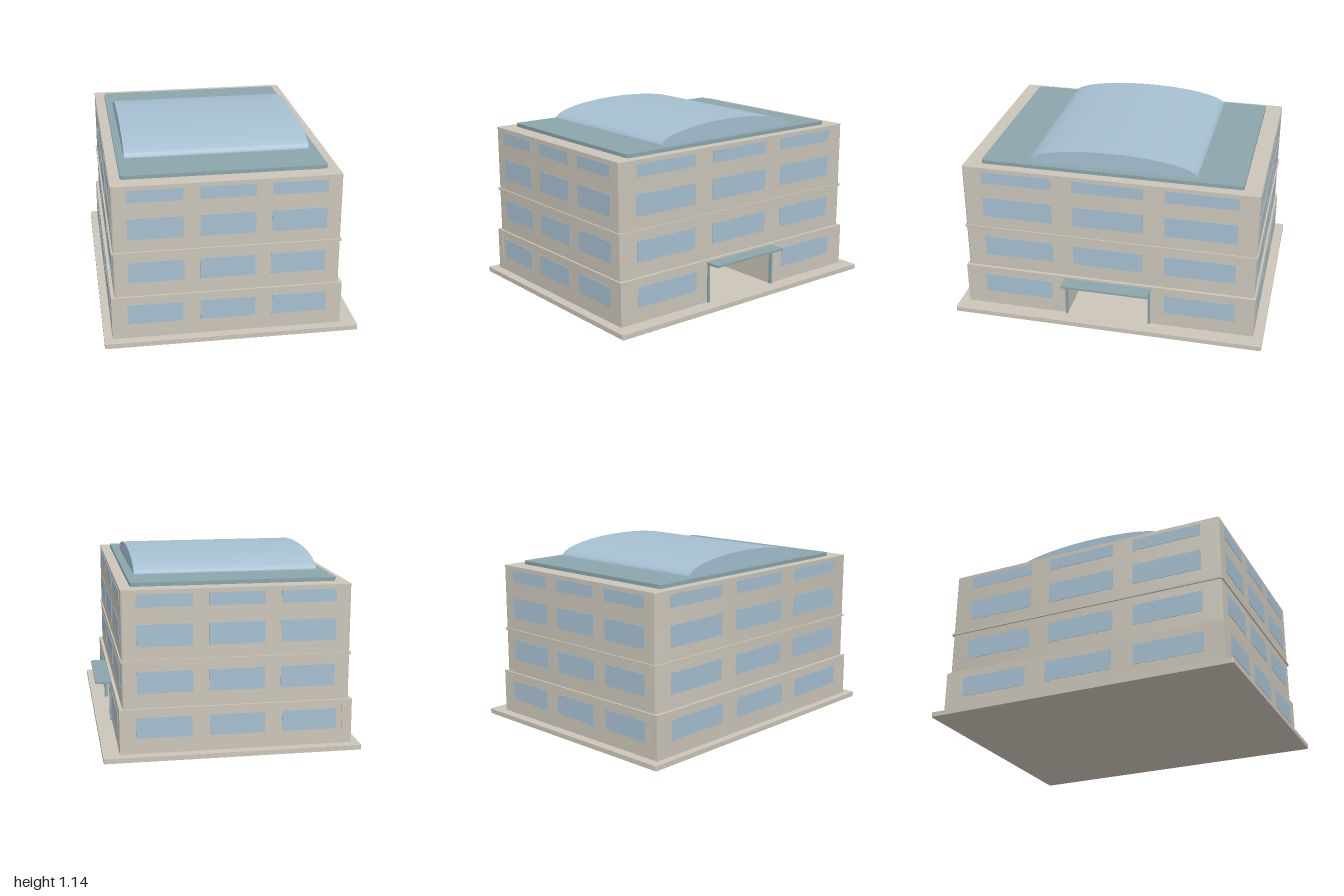
import * as THREE from 'three';
import { toCreasedNormals } from 'three/addons/utils/BufferGeometryUtils.js';

const mat = (name, color) => {
  const m = new THREE.MeshStandardMaterial({ color });
  m.name = name;
  return m;
};

export function createModel() {
  const group = new THREE.Group();
  group.name = 'officeBuilding';
  const stone = mat('stone', 0xcbc5b8);
  const glass = mat('glass', 0xa5bfd0);
  const teal = mat('tealMetal', 0x8aa5ab);

  const add = (name, geometry, material, parent = group) => {
    const mesh = new THREE.Mesh(geometry, material);
    mesh.name = name;
    parent.add(mesh);
    return mesh;
  };

  // box given by its limits
  const box = (name, x0, x1, y0, y1, z0, z1, material, parent) => {
    const mesh = add(name, new THREE.BoxGeometry(x1 - x0, y1 - y0, z1 - z0), material, parent);
    mesh.position.set((x0 + x1) / 2, (y0 + y1) / 2, (z0 + z1) / 2);
    return mesh;
  };

  // plan outline with rounded corners, and its upright extrusion
  const plan = (x0, x1, hz, r) => {
    const s = new THREE.Shape();
    s.absarc(x1 - r, hz - r, r, 0, Math.PI / 2);
    s.absarc(x0 + r, hz - r, r, Math.PI / 2, Math.PI);
    s.absarc(x0 + r, -hz + r, r, Math.PI, Math.PI * 1.5);
    s.absarc(x1 - r, -hz + r, r, Math.PI * 1.5, Math.PI * 2);
    return s;
  };
  const slab = (name, x0, x1, y0, y1, hz, r, material) => {
    const g = new THREE.ExtrudeGeometry(plan(x0, x1, hz, r), { depth: y1 - y0, bevelEnabled: false, curveSegments: 4 });
    g.rotateX(-Math.PI / 2);
    g.translate(0, y0, 0);
    return add(name, toCreasedNormals(g, 0.6), material);
  };

  slab('basePlinth', -0.78, 0.78, 0, 0.03, 1, 0.012, stone);

  // ground floor with a deep entrance recess on the left side
  const doorHalf = 0.265, doorBack = 0.1, doorTop = 0.27;
  const u = new THREE.Shape([
    [-0.73, -0.94], [0.68, -0.94], [0.68, -doorHalf], [doorBack, -doorHalf],
    [doorBack, doorHalf], [0.68, doorHalf], [0.68, 0.94], [-0.73, 0.94],
  ].map(([x, y]) => new THREE.Vector2(x, y)));
  const ground = new THREE.ExtrudeGeometry(u, { depth: doorTop - 0.03, bevelEnabled: false });
  ground.rotateX(-Math.PI / 2);
  ground.translate(0, 0.03, 0);
  add('groundFloor', ground, stone);
  box('groundFloorTop', -0.73, 0.68, doorTop, 0.305, -0.94, 0.94, stone);

  // upper floors and string course
  slab('upperFloors', -0.71, 0.66, 0.305, 1.012, 0.927, 0.012, stone);
  slab('stringCourse', -0.72, 0.668, 0.583, 0.597, 0.936, 0.012, stone);

  // roof slab and vaulted skylight
  slab('roofSlab', -0.645, 0.595, 1.012, 1.035, 0.82, 0.02, teal);
  const arch = new THREE.Shape();
  arch.absellipse(0, 0, 0.535, 0.105, 0, Math.PI);
  const vault = new THREE.ExtrudeGeometry(arch, { depth: 1.145, bevelEnabled: false, curveSegments: 40 });
  vault.rotateY(Math.PI / 2);
  vault.translate(-0.6, 1.035, 0);
  add('skylightVault', toCreasedNormals(vault, 0.6), glass);

  // windows: rows on all four sides
  const windows = new THREE.Group();
  windows.name = 'windows';
  group.add(windows);
  const t = 0.003;
  const rows = [
    { y: [0.125, 0.252], wall: [-0.73, 0.68, 0.94], xs: [-0.633, -0.193, 0.247], w: 0.335, zc: 0.59, ground: true },
    ...[[0.395, 0.527], [0.675, 0.808], [0.91, 0.987]].map((y) => (
      { y, wall: [-0.71, 0.66, 0.927], xs: [-0.62, -0.19, 0.24], w: 0.332, zc: 0.582 })),
  ];
  for (const { y: [y0, y1], wall: [xl, xr, hz], xs, w, zc, ground: isGround } of rows) {
    for (const x of xs) {
      box('frontWindow', x, x + w, y0, y1, hz - t, hz + t, glass, windows);
      box('backWindow', x, x + w, y0, y1, -hz - t, -hz + t, glass, windows);
    }
    for (const c of [-zc, 0, zc]) {
      const z0 = c - 0.223, z1 = c + 0.223;
      box('rightWindow', xl - t, xl + t, y0, y1, z0, z1, glass, windows);
      if (!(isGround && c === 0)) box('leftWindow', xr - t, xr + t, y0, y1, z0, z1, glass, windows);
    }
  }

  // entrance posts, lintel and canopy
  const entrance = new THREE.Group();
  entrance.name = 'entrance';
  group.add(entrance);
  for (const s of [-1, 1]) {
    const post = box('entrancePost', 0.67, 0.692, 0.03, 0.28, -0.0065, 0.0065, teal, entrance);
    post.position.z = s * 0.271;
  }
  box('entranceLintel', 0.665, 0.698, 0.265, 0.28, -0.265, 0.265, stone, entrance);
  box('canopy', 0.67, 0.78, 0.28, 0.293, -0.28, 0.28, teal, entrance);

  // slim vertical ribs near the right-hand corners
  for (const s of [-1, 1]) {
    const rib = box('cornerRib', -0.671, -0.667, 0.1, 0.285, -0.003, 0.003, stone);
    rib.position.z = s * 0.941;
  }
  return group;
}
